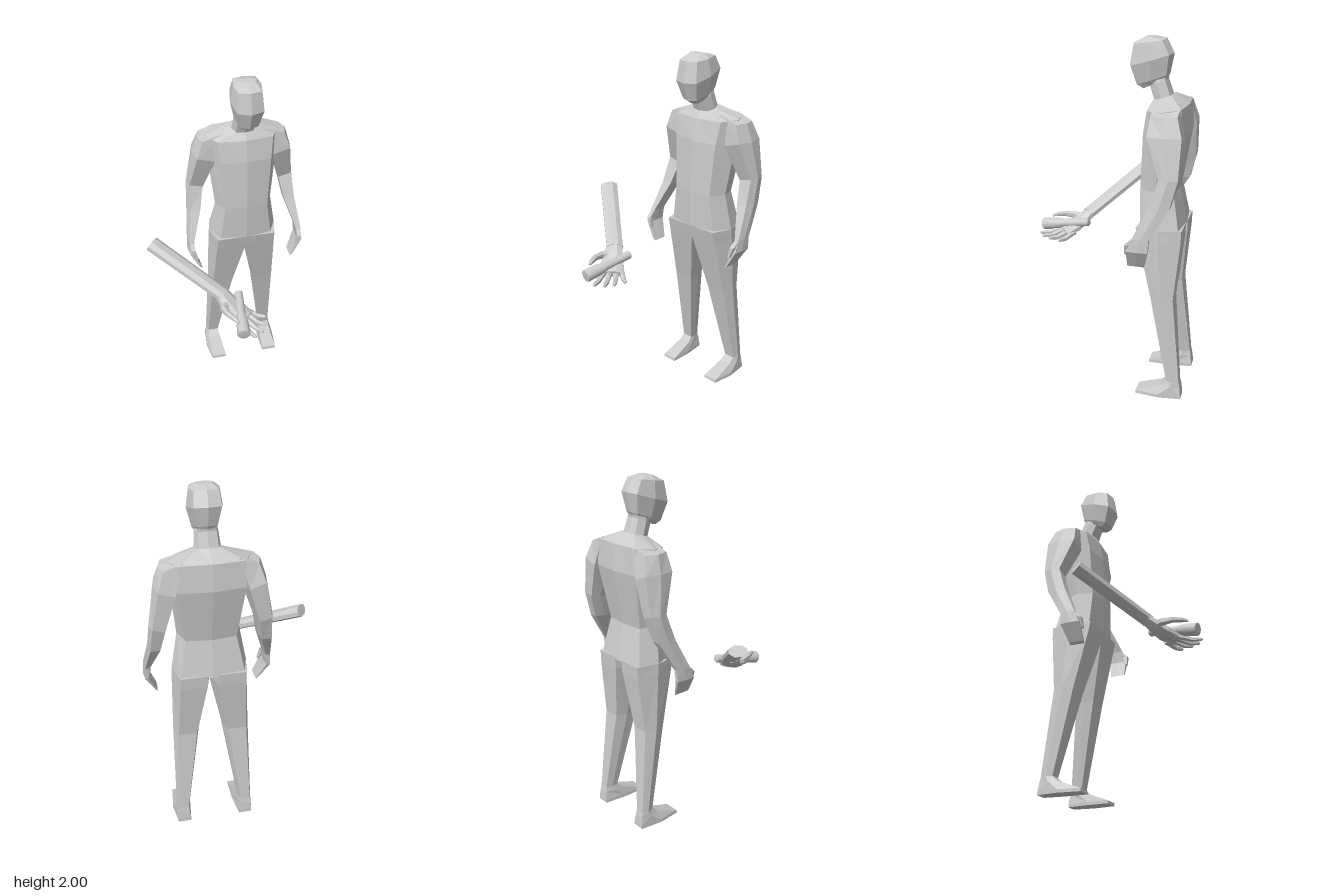
import * as THREE from 'three';

const grey = new THREE.MeshStandardMaterial({ color: 0xcccccc, flatShading: true });
const smoothGrey = new THREE.MeshStandardMaterial({ color: 0xcccccc });
const V = (x, y, z) => new THREE.Vector3(x, y, z);

// Skin a list of equal-length rings, cap both ends and face everything outward
function loft(name, rings) {
  const tris = [];
  const n = rings[0].length;
  for (let r = 0; r < rings.length - 1; r++) {
    for (let i = 0; i < n; i++) {
      const j = (i + 1) % n;
      const a = rings[r], b = rings[r + 1];
      tris.push([a[i], a[j], b[j]], [a[i], b[j], b[i]]);
    }
  }
  const cap = (ring, flip) => {
    const c = ring.reduce((s, p) => s.add(p), V(0, 0, 0)).divideScalar(n);
    for (let i = 0; i < n; i++) {
      const p = ring[i], q = ring[(i + 1) % n];
      tris.push(flip ? [c, q, p] : [c, p, q]);
    }
  };
  cap(rings[0], true);
  cap(rings[rings.length - 1], false);
  const origin = rings[0][0];
  let volume = 0;
  for (const t of tris) {
    const [a, b, c] = t.map((p) => p.clone().sub(origin));
    volume += a.dot(b.cross(c));
  }
  if (volume < 0) tris.forEach((t) => t.reverse());
  const geo = new THREE.BufferGeometry().setFromPoints(tris.flat());
  geo.computeVertexNormals();
  const mesh = new THREE.Mesh(geo, grey);
  mesh.name = name;
  return mesh;
}

// Symmetric eight-sided ring; front and back may sit at different heights
function bodyRing(w, yF, zF, yB, zB, frontCorner = 0.75, backCorner = 0.75) {
  const at = (x, t) => V(x, yF + (yB - yF) * t, zF + (zB - zF) * t);
  const f = w * frontCorner, b = w * backCorner;
  return [at(0, 0), at(f, 0.09), at(w, 0.5), at(b, 0.93),
    at(0, 1), at(-b, 0.93), at(-w, 0.5), at(-f, 0.09)];
}

// Six-sided limb ring from inner/outer x, front/back z and inner/outer y
function limbRing(side, x0, x1, zF, zB, y0, y1 = y0, bevel = 0.15) {
  const dx = (x1 - x0) * bevel, zm = (zF + zB) / 2;
  return [[x0, y0, zF], [x1 - dx, y1, zF], [x1, y1, zm],
    [x1 - dx, y1, zB], [x0 + dx, y0, zB], [x0, y0, zm]].map(([x, y, z]) => V(side * x, y, z));
}

// Flattened tube: stations are [x, y, z, halfWidth, halfThickness]
function limbTube(name, stations, sides) {
  const pts = stations.map((s) => V(s[0], s[1], s[2]));
  return loft(name, stations.map((s, i) => {
    const dir = pts[Math.min(i + 1, pts.length - 1)].clone().sub(pts[Math.max(i - 1, 0)]).normalize();
    const u = dir.clone().cross(V(0, 1, 0)).normalize();
    const v = u.clone().cross(dir);
    return Array.from({ length: sides }, (_, k) => {
      const a = ((k + 0.5) / sides) * Math.PI * 2;
      return pts[i].clone().addScaledVector(u, Math.cos(a) * s[3]).addScaledVector(v, Math.sin(a) * s[4]);
    });
  }));
}

function createFigure() {
  const figure = new THREE.Group();
  figure.name = 'standingFigure';
  figure.position.x = 0.133;

  // Head
  figure.add(loft('head', [
    bodyRing(0.05, 1.995, -0.2, 1.998, -0.25),
    bodyRing(0.078, 1.96, -0.135, 1.985, -0.31, 0.8, 0.8),
    bodyRing(0.093, 1.845, -0.115, 1.915, -0.352, 0.8, 0.75),
    bodyRing(0.068, 1.745, -0.152, 1.81, -0.332, 0.75, 0.75),
    bodyRing(0.052, 1.725, -0.185, 1.785, -0.32, 0.75, 0.75),
  ]));
  // Neck
  figure.add(loft('neck', [
    bodyRing(0.055, 1.76, -0.215, 1.82, -0.325),
    bodyRing(0.062, 1.745, -0.225, 1.78, -0.322),
    bodyRing(0.07, 1.665, -0.255, 1.70, -0.35),
  ]));
  // Torso from neck base to hips
  figure.add(loft('torso', [
    bodyRing(0.075, 1.675, -0.25, 1.705, -0.36),
    bodyRing(0.215, 1.635, -0.225, 1.655, -0.44, 0.75, 0.8),
    bodyRing(0.205, 1.51, -0.2, 1.51, -0.455, 0.72, 0.85),
    bodyRing(0.17, 1.21, -0.188, 1.2, -0.405, 0.75, 0.8),
    bodyRing(0.207, 1.0, -0.192, 0.99, -0.447, 0.75, 0.85),
  ]));

  for (const [side, label] of [[1, 'left'], [-1, 'right']]) {
    // Shoulder, upper arm and forearm
    figure.add(loft(label + 'Arm', [
      limbRing(side, 0.12, 0.26, -0.28, -0.42, 1.665, 1.63),
      limbRing(side, 0.17, 0.292, -0.27, -0.45, 1.5, 1.53),
      limbRing(side, 0.233, 0.325, -0.343, -0.443, 1.3, 1.32),
      limbRing(side, 0.26, 0.335, -0.295, -0.405, 1.17),
      limbRing(side, 0.318, 0.352, -0.215, -0.305, 1.0),
    ]));
    // Mitten hand with thumb
    figure.add(loft(label + 'Hand', [
      limbRing(side, 0.318, 0.352, -0.215, -0.305, 1.0),
      limbRing(side, 0.325, 0.354, -0.185, -0.3, 0.93),
      limbRing(side, 0.278, 0.296, -0.18, -0.268, 0.82, 0.83),
    ]));
    figure.add(loft(label + 'Thumb', [
      limbRing(side, 0.32, 0.35, -0.205, -0.24, 0.99),
      limbRing(side, 0.318, 0.345, -0.175, -0.21, 0.96),
      limbRing(side, 0.305, 0.322, -0.17, -0.19, 0.9),
    ]));
    // Leg running into a wedge foot
    figure.add(loft(label + 'Leg', [
      limbRing(side, 0, 0.207, -0.195, -0.445, 1.0),
      limbRing(side, 0, 0.209, -0.21, -0.443, 0.93),
      limbRing(side, 0.068, 0.215, -0.288, -0.412, 0.6),
      limbRing(side, 0.146, 0.222, -0.39, -0.462, 0.1),
    ]));
    figure.add(loft(label + 'Foot', [
      limbRing(side, 0.146, 0.222, -0.39, -0.462, 0.1),
      limbRing(side, 0.14, 0.226, -0.355, -0.468, 0.07),
      limbRing(side, 0.13, 0.235, -0.215, -0.474, 0.018),
      limbRing(side, 0.13, 0.235, -0.212, -0.474, 0),
    ]));
  }
  return figure;
}

function createHeldHand() {
  const hand = new THREE.Group();
  hand.name = 'detachedForearmAndHand';

  // Forearm
  hand.add(limbTube('forearm', [
    [-0.455, 1.128, -0.085, 0.054, 0.034],
    [-0.1, 0.905, 0.195, 0.05, 0.03],
  ], 8));
  // Palm, turned upward
  hand.add(limbTube('palm', [
    [-0.11, 0.91, 0.187, 0.048, 0.03],
    [-0.085, 0.88, 0.22, 0.058, 0.032],
    [-0.045, 0.84, 0.265, 0.07, 0.03],
    [0.005, 0.812, 0.318, 0.066, 0.022],
  ], 8));
  // Fingers: base x, z and tip x, z
  const fingers = [[-0.028, 0.358, 0.02, 0.465], [0.004, 0.338, 0.07, 0.432],
    [0.024, 0.302, 0.098, 0.382], [0.035, 0.265, 0.117, 0.315]];
  fingers.forEach(([x0, z0, x1, z1], i) => {
    const at = (t, y, r) => [x0 + (x1 - x0) * t, y, z0 + (z1 - z0) * t, r, r];
    hand.add(limbTube('finger' + (i + 1), [
      at(-0.3, 0.815, 0.016), at(0.1, 0.808, 0.017), at(0.5, 0.794, 0.014),
      at(0.9, 0.797, 0.011), at(1, 0.799, 0.006),
    ], 6));
  });
  // Thumb folded along the rod
  hand.add(limbTube('thumb', [
    [-0.09, 0.875, 0.22, 0.028, 0.026], [-0.118, 0.878, 0.28, 0.023, 0.024],
    [-0.108, 0.885, 0.335, 0.017, 0.018], [-0.08, 0.886, 0.39, 0.014, 0.014],
    [-0.067, 0.88, 0.415, 0.007, 0.007],
  ], 6));

  // Handheld rod with a wider head, laid across the palm
  const from = V(-0.007, 0.882, 0.165), to = V(-0.049, 0.83, 0.463);
  const length = from.distanceTo(to);
  const profile = [[0, 0], [0.018, 0], [0.024, 0.006], [0.024, length * 0.55],
    [0.034, length * 0.72], [0.036, length - 0.004], [0.033, length], [0, length]];
  const rod = new THREE.Mesh(
    new THREE.LatheGeometry(profile.map(([r, y]) => new THREE.Vector2(r, y)), 20), smoothGrey);
  rod.name = 'handheldRod';
  rod.position.copy(from);
  rod.quaternion.setFromUnitVectors(V(0, 1, 0), to.clone().sub(from).normalize());
  hand.add(rod);
  return hand;
}

export function createModel() {
  const model = new THREE.Group();
  model.name = 'figureWithHand';
  model.add(createFigure(), createHeldHand());
  return model;
}
